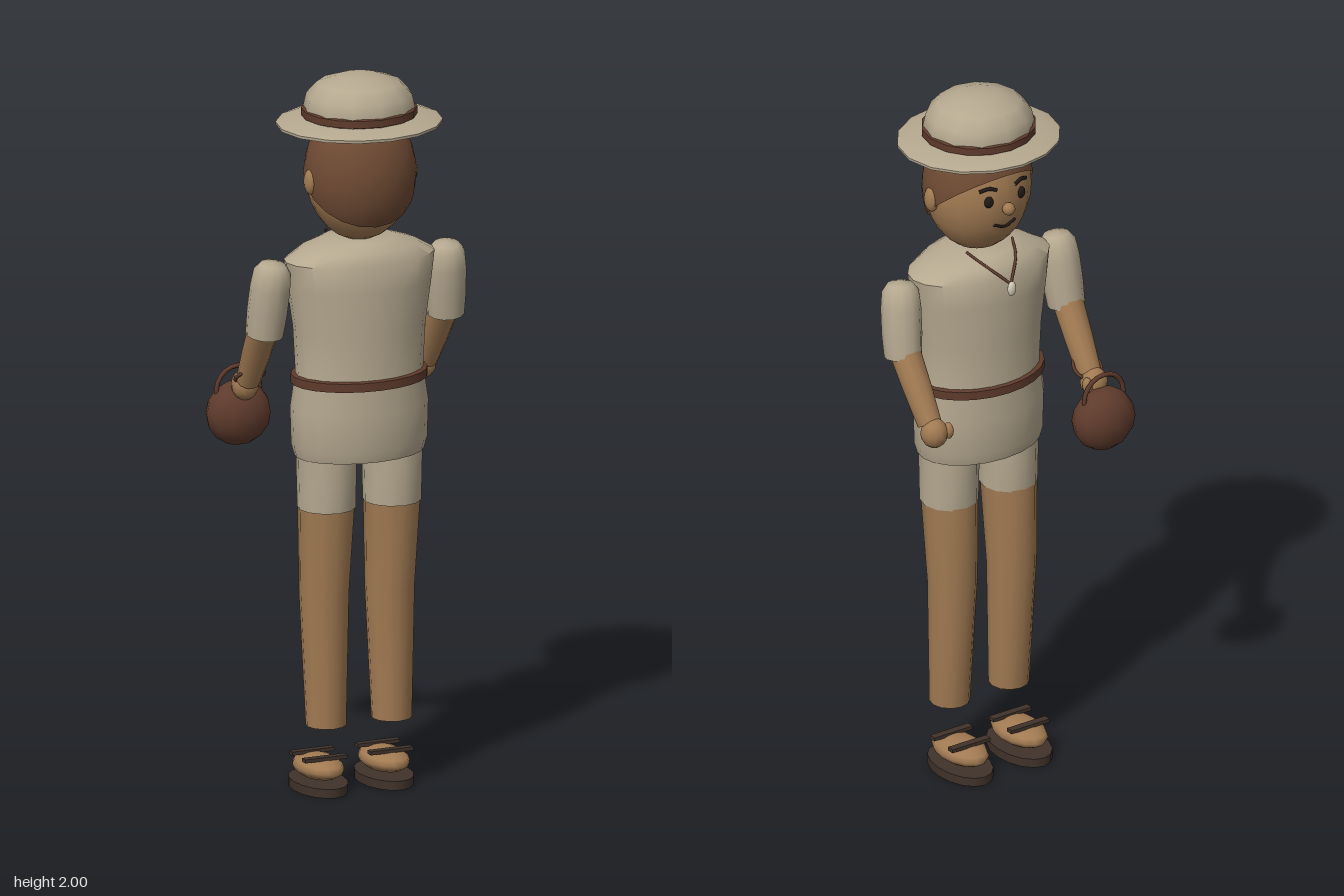
import * as THREE from 'three';
import { toCreasedNormals } from 'three/addons/utils/BufferGeometryUtils.js';

const mat = (color) => new THREE.MeshStandardMaterial({ color, side: THREE.DoubleSide });
const CLOTH = mat(0xb5a88f), SKIN = mat(0xa17a52), HAIR = mat(0x6e4a33);
const LEATHER = mat(0x5f3b2c), SOLE = mat(0x40322a), DARK = mat(0x221a16), IVORY = mat(0xd9cfba);
const V = (x, y, z) => new THREE.Vector3(x, y, z);
const CZ = 0.04;

export function createModel() {
  const root = new THREE.Group();
  const body = new THREE.Group();
  body.name = 'figure';
  body.position.x = 0.015;
  root.add(body);

  function add(name, geo, material, pos = [0, 0, 0], scale = [1, 1, 1], rot = [0, 0, 0]) {
    const m = new THREE.Mesh(geo, material);
    m.name = name;
    m.position.set(...pos);
    m.scale.set(...scale);
    m.rotation.set(...rot);
    body.add(m);
    return m;
  }
  const ball = (name, material, pos, radii, w = 12, h = 8) =>
    add(name, new THREE.SphereGeometry(1, w, h), material, pos, radii);
  const lathe = (pts, seg) =>
    toCreasedNormals(new THREE.LatheGeometry(pts.map((p) => new THREE.Vector2(...p)), seg), 0.9);

  // Elliptical loft; rows run upwards as [y, rx, rz, cx, cz]
  function loft(rows, seg) {
    const n = rows.length - 1;
    const g = new THREE.CylinderGeometry(1, 1, 1, seg, n);
    const p = g.attributes.position;
    for (let i = 0; i < p.count; i++) {
      const [y, rx, rz, cx = 0, cz = CZ] = rows[Math.round((p.getY(i) + 0.5) * n)];
      p.setXYZ(i, cx + p.getX(i) * rx, y, cz + p.getZ(i) * rz);
    }
    return toCreasedNormals(g, 0.9);
  }
  // Lathe whose axis runs from a to b; profile is [radius, fraction]
  function limb(name, material, a, b, profile, seg = 12) {
    const d = b.clone().sub(a), len = d.length();
    const m = add(name, lathe(profile.map(([r, t]) => [r, t * len]), seg), material, a.toArray());
    m.quaternion.setFromUnitVectors(V(0, 1, 0), d.normalize());
    return m;
  }
  const cord = (name, material, pts, r) =>
    add(name, new THREE.TubeGeometry(new THREE.CatmullRomCurve3(pts), 10, r, 6), material);

  // Hat
  add('hatBrim', lathe([[0.12, 1.872], [0.2, 1.866], [0.235, 1.862], [0.236, 1.87], [0.2, 1.882], [0.12, 1.888]], 16),
    CLOTH, [0, 0, CZ], [0.97, 1, 0.88]);
  add('hatCrown', lathe([[0.15, 1.87], [0.153, 1.91], [0.145, 1.945], [0.115, 1.977], [0.06, 1.995], [0, 2]], 12),
    CLOTH, [0, 0, CZ], [1, 1, 0.955]);
  add('hatBand', lathe([[0.15, 1.885], [0.158, 1.888], [0.158, 1.908], [0.15, 1.911]], 16),
    LEATHER, [0, 0, CZ], [1, 1, 0.955]);

  // Head, with hair as a tilted cap over the back and top
  ball('head', SKIN, [0, 1.725, 0.043], [0.148, 0.185, 0.137], 20, 14);
  const hair = new THREE.SphereGeometry(1, 20, 12, 0, Math.PI * 2, 0, Math.PI * 0.55);
  hair.rotateX(0.57);
  add('hair', hair, HAIR, [0, 1.725, 0.045], [0.155, 0.19, 0.145]);
  ball('nose', SKIN, [0, 1.708, -0.102], [0.018, 0.018, 0.018], 10, 8);
  for (const s of [-1, 1]) {
    ball('ear', SKIN, [s * 0.148, 1.717, 0.05], [0.018, 0.036, 0.025]);
    ball('eye', DARK, [s * 0.052, 1.735, -0.083], [0.015, 0.017, 0.01], 8, 6);
    cord('eyebrow', DARK, [V(s * 0.03, 1.768, -0.088), V(s * 0.052, 1.776, -0.084), V(s * 0.076, 1.768, -0.072)], 0.005);
  }
  cord('mouth', DARK, [V(-0.035, 1.66, -0.081), V(0, 1.648, -0.084), V(0.035, 1.66, -0.081)], 0.004);

  // Shirt and belt
  add('shirt', loft([
    [0.945, 0.183, 0.128], [0.975, 0.192, 0.135], [1.08, 0.195, 0.137], [1.18, 0.18, 0.13],
    [1.3, 0.187, 0.133], [1.42, 0.205, 0.136], [1.495, 0.215, 0.133], [1.525, 0.165, 0.118], [1.547, 0.097, 0.093],
  ], 20), CLOTH);
  add('belt', lathe([[0.178, 1.146], [0.192, 1.149], [0.192, 1.173], [0.178, 1.176]], 24),
    LEATHER, [0, 0, CZ], [1, 1, 0.745]);

  // Necklace
  const tip = V(0, 1.485, -0.113);
  for (const s of [-1, 1]) {
    cord('necklaceCord', LEATHER, [V(s * 0.075, 1.56, -0.01), V(s * 0.052, 1.535, -0.06), tip], 0.004);
  }
  ball('pendant', IVORY, [0, 1.472, -0.116], [0.014, 0.022, 0.009], 8, 6);

  for (const s of [-1, 1]) {
    // Arms
    limb('sleeve', CLOTH, V(s * 0.268, 1.293, 0.012), V(s * 0.256, 1.503, 0.044),
      [[0.042, 0.01], [0.051, 0], [0.055, 0.3], [0.055, 0.65], [0.05, 0.88], [0.036, 0.97], [0, 1]]);
    limb('forearm', SKIN, V(s * 0.262, 1.135, -0.105), V(s * 0.267, 1.33, 0.018),
      [[0, 0], [0.033, 0], [0.039, 0.45], [0.043, 1]]);
    ball('hand', SKIN, [s * 0.262, 1.117, -0.127], [0.038, 0.042, 0.038]);
    ball('thumb', SKIN, [s * 0.228, 1.122, -0.145], [0.013, 0.024, 0.017], 8, 6);

    // Legs
    const x = s * 0.097;
    add('shortsLeg', loft([[0.8, 0.079, 0.082, x], [0.98, 0.083, 0.085, x]], 12), CLOTH);
    add('leg', loft([
      [0.19, 0.055, 0.056, x, 0.037], [0.56, 0.068, 0.068, x, 0.024], [0.81, 0.077, 0.08, x, 0.038],
    ], 12), SKIN);

    // Sandals
    add('sole', new THREE.CylinderGeometry(1, 1, 0.025, 16), SOLE, [x, 0.0125, -0.013], [0.072, 1, 0.117]);
    ball('foot', SKIN, [x, 0.062, -0.013], [0.063, 0.033, 0.102], 14, 8);
    for (const z of [0.03, -0.055]) {
      add('strap', new THREE.BoxGeometry(0.125, 0.01, 0.022), SOLE, [x, 0.093, z]);
    }
  }

  // Bag hanging from the right hand
  ball('bag', LEATHER, [-0.26, 1.028, -0.175], [0.093, 0.09, 0.07], 12, 8);
  add('bagHandle', new THREE.TorusGeometry(0.064, 0.007, 6, 20), LEATHER, [-0.26, 1.095, -0.176]);
  add('bracelet', new THREE.TorusGeometry(0.041, 0.005, 6, 16), LEATHER, [-0.262, 1.15, -0.096], [1, 1, 1], [0.95, 0, 0]);

  return root;
}
